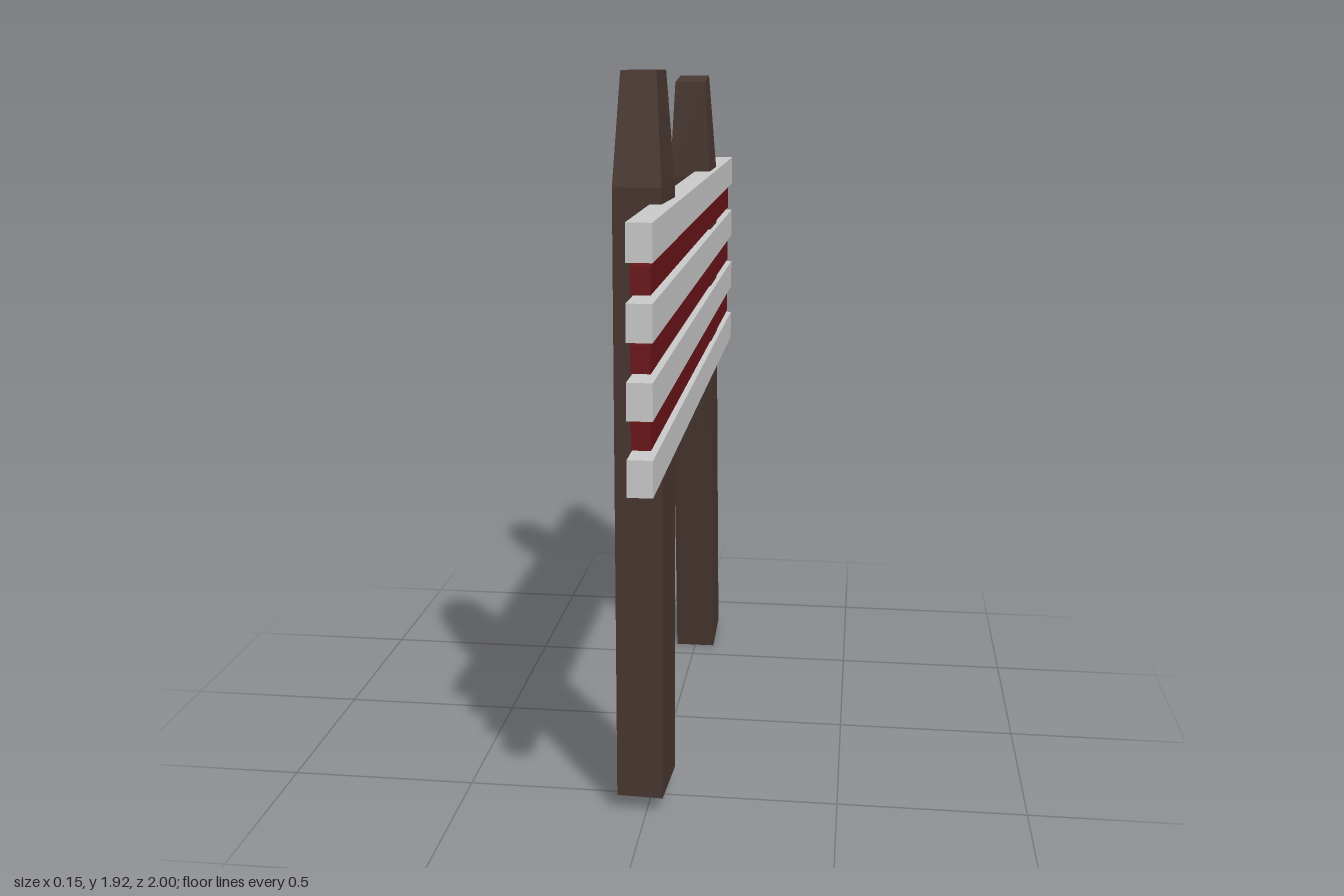
import * as THREE from 'three';

const wood = new THREE.MeshStandardMaterial({ color: 0x493730, flatShading: true });
const red = new THREE.MeshStandardMaterial({ color: 0x6b1418, flatShading: true });
const grey = new THREE.MeshStandardMaterial({ color: 0xcccccc, flatShading: true });

// Square post standing on its local origin, narrowing above the shoulder
function makePost(name, height) {
  const shoulder = 1.6;
  const geo = new THREE.BoxGeometry(0.122, height, 0.186, 1, 2, 1);
  const p = geo.attributes.position;
  for (let i = 0; i < p.count; i++) {
    const y = p.getY(i);
    if (y > 0.1) {
      p.setXYZ(i, p.getX(i) * 0.72, height, p.getZ(i) * 0.71);
    } else {
      p.setY(i, y < -0.1 ? 0 : shoulder);
    }
  }
  geo.computeVertexNormals();
  const post = new THREE.Mesh(geo, wood);
  post.name = name;
  return post;
}

function makeSlat(name, thickness, height, length, x, y, material) {
  const slat = new THREE.Mesh(new THREE.BoxGeometry(thickness, height, length), material);
  slat.position.set(x, y, 0);
  slat.name = name;
  return slat;
}

export function createModel() {
  const model = new THREE.Group();
  model.name = 'slattedBarrier';

  // Upright post, twisted slightly
  const frontPost = makePost('frontPost', 1.875);
  frontPost.position.set(-0.012, 0.045, 0.515);
  frontPost.rotation.y = -0.05;
  model.add(frontPost);

  // Leaning post
  const backPost = makePost('backPost', 1.88);
  backPost.position.set(0, 0.012, -0.671);
  backPost.rotation.x = 0.12;
  model.add(backPost);

  // Wide slats with thinner, shorter slats in the gaps
  for (let i = 0; i < 4; i++) {
    const y = 1.028 + i * 0.1777;
    model.add(makeSlat(`wideSlat${i + 1}`, 0.06, 0.088, 2, 0.045, y, grey));
    if (i < 3) {
      model.add(makeSlat(`thinSlat${i + 1}`, 0.046, 0.066, 1.92, 0.042, y + 0.089, red));
    }
  }
  return model;
}
